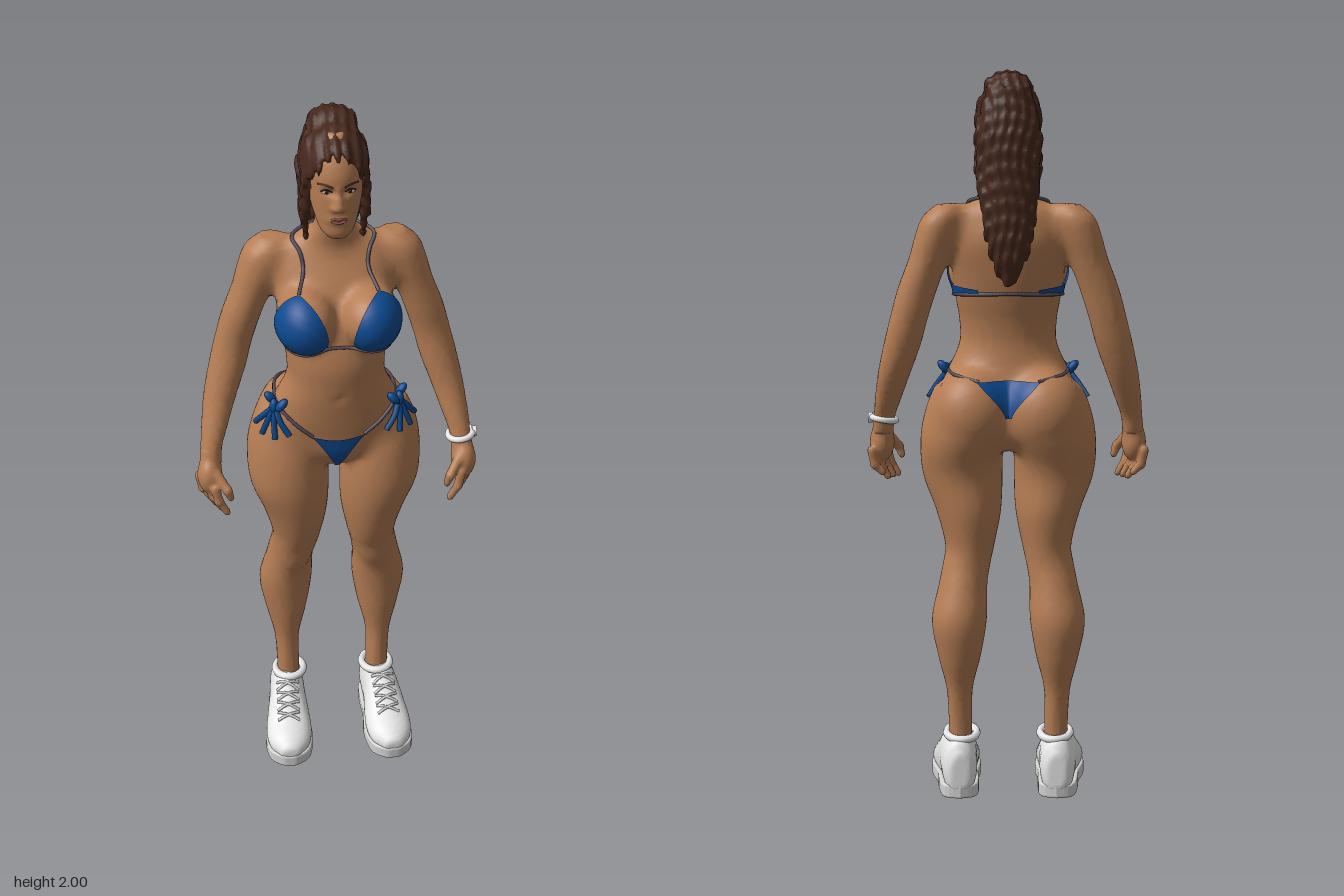
import * as THREE from 'three';
import { ParametricGeometry } from 'three/addons/geometries/ParametricGeometry.js';

const V = (x, y, z) => new THREE.Vector3(x, y, z);
const paint = (name, color, side = THREE.FrontSide) => {
  const m = new THREE.MeshStandardMaterial({ color, side });
  m.name = name;
  return m;
};

// --- implicit shapes: negative inside, positive outside ---
const smin = (a, b, k) => {
  const h = Math.max(k - Math.abs(a - b), 0) / k;
  return Math.min(a, b) - h * h * k / 4;
};
const ball = (cx, cy, cz, rx, ry, rz) => (x, y, z) =>
  (Math.hypot((x - cx) / rx, (y - cy) / ry, (z - cz) / rz) - 1) * Math.min(rx, ry, rz);
const capsule = (a, b, ra, rb = ra) => (x, y, z) => {
  const d = b.clone().sub(a), t = THREE.MathUtils.clamp(
    ((x - a.x) * d.x + (y - a.y) * d.y + (z - a.z) * d.z) / d.lengthSq(), 0, 1);
  return Math.hypot(x - a.x - d.x * t, y - a.y - d.y * t, z - a.z - d.z * t) - ra - (rb - ra) * t;
};
// Elliptical sections [height, centreX, centreZ, radiusX, radiusZ], top first, joined smoothly
const column = rows => {
  const n = rows.length - 1;
  const slope = rows.map((r, i) => {
    const a = rows[Math.max(i - 1, 0)], b = rows[Math.min(i + 1, n)];
    return r.map((_, c) => (b[c] - a[c]) / (b[0] - a[0]));
  });
  return (x, y, z) => {
    const cap = Math.max(y - rows[0][0], rows[n][0] - y);
    if (cap > 0.1) return cap;
    const yy = THREE.MathUtils.clamp(y, rows[n][0], rows[0][0]);
    let i = 0;
    while (i < n - 1 && yy < rows[i + 1][0]) i++;
    const h = rows[i + 1][0] - rows[i][0], t = (yy - rows[i][0]) / h, u = 1 - t;
    const at = c => u * u * (1 + 2 * t) * rows[i][c] + t * u * u * h * slope[i][c]
      + t * t * (3 - 2 * t) * rows[i + 1][c] - t * t * u * h * slope[i + 1][c];
    const rx = at(3), rz = at(4);
    return Math.max(cap, (Math.hypot((x - at(1)) / rx, (z - at(2)) / rz) - 1) * Math.min(rx, rz));
  };
};
// Surface of an implicit shape as a smooth quad net
function surface(f, lo, hi, h) {
  const n = lo.map((v, a) => Math.ceil((hi[a] - v) / h) + 1), step = [1, n[0], n[0] * n[1]];
  const val = new Float32Array(n[0] * n[1] * n[2]), cell = new Int32Array(val.length), pos = [], idx = [];
  const each = fn => {
    for (let k = 0, p = 0; k < n[2]; k++) for (let j = 0; j < n[1]; j++) for (let i = 0; i < n[0]; i++, p++) fn([i, j, k], p);
  };
  each((g, p) => { val[p] = f(lo[0] + g[0] * h, lo[1] + g[1] * h, lo[2] + g[2] * h); });
  each((g, p) => {
    if (g.some((v, a) => v > n[a] - 2)) return;
    const sum = [0, 0, 0];
    let count = 0;
    for (let c = 0; c < 8; c++) for (let a = 0; a < 3; a++) {
      if (c >> a & 1) continue;
      const bits = [c & 1, c >> 1 & 1, c >> 2 & 1];
      const q = p + bits[0] + bits[1] * step[1] + bits[2] * step[2], v0 = val[q], v1 = val[q + step[a]];
      if (v0 < 0 === v1 < 0) continue;
      bits[a] = v0 / (v0 - v1);
      bits.forEach((b, m) => { sum[m] += b; });
      count++;
    }
    if (!count) return;
    cell[p] = pos.length / 3;
    sum.forEach((s, m) => pos.push(lo[m] + (g[m] + s / count) * h));
  });
  each((g, p) => {
    if (g.some((v, a) => v < 1 || v > n[a] - 2)) return;
    for (let a = 0; a < 3; a++) {
      const inside = val[p] < 0;
      if (inside === val[p + step[a]] < 0) continue;
      const u = step[(a + 1) % 3], w = step[(a + 2) % 3];
      const q = [cell[p], cell[p - u], cell[p - u - w], cell[p - w]];
      if (!inside) q.reverse();
      idx.push(q[0], q[1], q[2], q[0], q[2], q[3]);
    }
  });
  const geo = new THREE.BufferGeometry();
  geo.setAttribute('position', new THREE.Float32BufferAttribute(pos, 3));
  geo.setIndex(idx);
  geo.computeVertexNormals();
  return geo;
}
// First point along a ray that lies "off" away from a shape
const cast = (f, from, dir, off = 0) => {
  const p = from.clone();
  for (let i = 0; i < 400 && f(p.x, p.y, p.z) > off; i++) p.addScaledVector(dir, 0.001);
  return p;
};
const tube = (pts, r, seg = 30) => new THREE.TubeGeometry(new THREE.CatmullRomCurve3(pts), seg, r, 6);
const patch = (fn, a = 16, b = 12) => {
  const g = new ParametricGeometry((u, v, t) => t.copy(fn(u, v)), a, b);
  g.computeVertexNormals();
  return g;
};

// --- body shapes, described for the left half ---
const torso = column([[1.665, 0, -0.05, 0.07, 0.04], [1.645, 0, -0.055, 0.115, 0.047], [1.62, 0, -0.055, 0.155, 0.06],
  [1.54, 0, -0.04, 0.163, 0.093], [1.46, 0, -0.02, 0.153, 0.103], [1.38, 0, 0, 0.143, 0.106], [1.32, 0, 0.012, 0.134, 0.104],
  [1.26, 0, 0.012, 0.135, 0.1], [1.18, 0, 0, 0.17, 0.103], [1.1, 0, -0.02, 0.198, 0.112], [1.02, 0, -0.03, 0.14, 0.108],
  [0.975, 0, -0.035, 0.05, 0.08]]);
const neck = column([[1.78, 0, -0.02, 0.05, 0.055], [1.68, 0, -0.035, 0.052, 0.052], [1.62, 0, -0.055, 0.062, 0.055], [1.56, 0, -0.06, 0.075, 0.06]]);
const arm = column([[1.645, 0.165, -0.07, 0.03, 0.03], [1.61, 0.183, -0.07, 0.05, 0.055], [1.56, 0.198, -0.068, 0.055, 0.06],
  [1.5, 0.217, -0.065, 0.053, 0.057], [1.42, 0.246, -0.062, 0.054, 0.054], [1.34, 0.27, -0.06, 0.052, 0.05],
  [1.26, 0.291, -0.048, 0.051, 0.05], [1.18, 0.314, -0.028, 0.045, 0.047], [1.1, 0.334, 0.006, 0.036, 0.04],
  [1.05, 0.345, 0.03, 0.03, 0.033], [1, 0.35, 0.045, 0.03, 0.033]]);
const leg = column([[1.14, 0.12, -0.03, 0.08, 0.07], [1.08, 0.13, -0.035, 0.098, 0.098], [1, 0.13, -0.04, 0.112, 0.122],
  [0.9, 0.126, -0.025, 0.11, 0.114], [0.8, 0.11, -0.033, 0.09, 0.107], [0.7, 0.107, -0.042, 0.068, 0.087],
  [0.65, 0.116, -0.058, 0.066, 0.074], [0.6, 0.125, -0.07, 0.067, 0.075], [0.5, 0.136, -0.09, 0.076, 0.08],
  [0.4, 0.136, -0.088, 0.06, 0.068], [0.3, 0.136, -0.078, 0.037, 0.048], [0.2, 0.134, -0.07, 0.033, 0.042], [0.1, 0.134, -0.065, 0.033, 0.042]]);
const glute = ball(0.1, 1.075, -0.09, 0.105, 0.12, 0.097), knee = ball(0.112, 0.655, 0, 0.036, 0.05, 0.022);
const bustC = V(0.086, 1.46, 0.07), bustR = V(0.08, 0.085, 0.102);
const bust = ball(...bustC.toArray(), ...bustR.toArray());
const trunk = (x, y, z) => {
  const a = Math.abs(x);
  let d = smin(torso(a, y, z), neck(a, y, z), 0.04);
  d = smin(d, smin(leg(a, y, z), knee(a, y, z), 0.03), 0.025);
  d = smin(smin(d, glute(a, y, z), 0.03), bust(a, y, z), 0.025);
  return Math.max(d, 0.013 - Math.hypot(x, y - 1.225, z - 0.115));
};
const body = (x, y, z) => smin(trunk(x, y, z), arm(Math.abs(x), y, z), 0.035);

// Hand: palm, four curled fingers and a thumb
const handParts = [ball(0.353, 0.975, 0.055, 0.034, 0.055, 0.042), capsule(V(0.347, 1.04, 0.035), V(0.352, 0.97, 0.055), 0.029),
  capsule(V(0.335, 0.99, 0.08), V(0.308, 0.955, 0.108), 0.015, 0.012), capsule(V(0.308, 0.955, 0.108), V(0.3, 0.93, 0.107), 0.012, 0.01)];
for (let i = 0; i < 4; i++) {
  const x = 0.38 - i * 0.013, z = 0.024 + i * 0.024, drop = i === 0 ? 0.015 : 0;
  handParts.push(capsule(V(x, 0.955, z), V(x - 0.008, 0.915, z + 0.003), 0.0135, 0.012),
    capsule(V(x - 0.008, 0.915, z + 0.003), V(x - 0.03, 0.878 + drop, z + 0.004), 0.012, 0.01));
}
const hand = (x, y, z) => handParts.reduce((d, f) => smin(d, f(x, y, z), 0.007), 1);

// Head: skull and jaw, nose, brow and eye sockets
const skull = column([[1.97, 0, -0.02, 0.03, 0.045], [1.93, 0, -0.015, 0.062, 0.08], [1.88, 0, -0.008, 0.073, 0.095], [1.83, 0, 0, 0.072, 0.088],
  [1.78, 0, 0.013, 0.065, 0.074], [1.74, 0, 0.033, 0.053, 0.052], [1.715, 0, 0.046, 0.042, 0.038], [1.697, 0, 0.052, 0.025, 0.024]]);
const nose = capsule(V(0, 1.84, 0.083), V(0, 1.797, 0.094), 0.007, 0.011), nostril = ball(0.009, 1.793, 0.09, 0.009, 0.008, 0.009);
const socket = ball(0.03, 1.835, 0.09, 0.021, 0.011, 0.016), mouth = ball(0, 1.757, 0.074, 0.024, 0.013, 0.014);
const head = (x, y, z) => {
  const a = Math.abs(x);
  let d = smin(skull(a, y, z), smin(nose(a, y, z), nostril(a, y, z), 0.008), 0.014);
  d = -smin(-d, socket(a, y, z), 0.012);
  return smin(d, mouth(a, y, z), 0.012);
};

// Hair: swept cap, top knot, long tail and side locks with strand ripples
const cap = ball(0, 1.875, -0.03, 0.09, 0.105, 0.122), knot = ball(0, 1.955, -0.075, 0.066, 0.045, 0.06);
const tail = column([[1.96, 0, -0.105, 0.055, 0.045], [1.85, 0, -0.12, 0.086, 0.055], [1.75, 0, -0.125, 0.086, 0.055],
  [1.65, 0, -0.137, 0.078, 0.048], [1.55, 0, -0.15, 0.06, 0.036], [1.48, 0, -0.15, 0.04, 0.027], [1.43, 0, -0.15, 0.014, 0.012]]);
const lockTop = capsule(V(0.074, 1.86, 0.02), V(0.08, 1.74, 0), 0.015, 0.013), lockEnd = capsule(V(0.08, 1.74, 0), V(0.072, 1.64, -0.03), 0.013, 0.006);
const hair = (x, y, z) => {
  const a = Math.abs(x);
  const face = Math.max((Math.hypot(x / 0.068, (y - 1.8) / 0.125) - 1) * 0.068, -z);
  const low = 1.8 - y - Math.max(0, -z) * 0.8 + Math.max(0, z) * 0.7;
  let d = Math.max(cap(x, y, z), -face, low);
  d = smin(smin(d, knot(x, y, z), 0.008), tail(x, y, z), 0.012);
  d = smin(d, Math.min(lockTop(a, y, z), lockEnd(a, y, z)), 0.008);
  return d + 0.0028 * Math.sin(x * 240 + 3 * Math.sin(y * 22 + z * 15)) + 0.0018 * Math.sin(y * 130 + z * 150);
};

// Shoe upper, swept from toe to heel
const upperForm = column([[0.188, 0, 0.045, 0.025, 0.02], [0.15, 0, 0.048, 0.056, 0.04], [0.1, 0, 0.055, 0.067, 0.052], [0.04, 0, 0.07, 0.062, 0.076],
  [-0.02, 0, 0.087, 0.054, 0.094], [-0.08, 0, 0.085, 0.051, 0.09], [-0.13, 0, 0.08, 0.045, 0.082], [-0.15, 0, 0.07, 0.028, 0.055]]);
const upper = (x, y, z) => Math.max(upperForm(x, z, y), 0.02 - y);

export function createModel() {
  const model = new THREE.Group();
  model.name = 'figure';
  const skin = paint('skin', 0xb57d54), brown = paint('hair brown', 0x46281c), blue = paint('swimwear blue', 0x0c4a90, THREE.DoubleSide);
  const cord = paint('cord', 0x544a58), white = paint('shoe white', 0xe6e6e6), grey = paint('sole grey', 0xd2d2d2);
  const lip = paint('lips', 0x96584a), eyeWhite = paint('eye white', 0xe2d8cc), dark = paint('iris', 0x2a1a14);
  const add = (name, geo, mat, parent = model) => {
    const m = new THREE.Mesh(geo, mat);
    m.name = name;
    parent.add(m);
    return m;
  };
  const wrap = (a, y, off) => cast(trunk, V(Math.sin(a) * 0.34, y, -0.02 + Math.cos(a) * 0.34), V(-Math.sin(a), 0, -Math.cos(a)), off);
  const onFace = (x, y, off) => cast(head, V(x, y, 0.15), V(0, 0, -1), off);

  add('body', surface(body, [-0.42, 0.08, -0.22], [0.42, 1.8, 0.2], 0.0125), skin);
  add('head', surface(head, [-0.09, 1.68, -0.12], [0.09, 1.99, 0.12], 0.0055), skin);
  add('hair', surface(hair, [-0.11, 1.41, -0.21], [0.11, 2.02, 0.11], 0.0075), brown);
  add('upperLip', tube([-0.021, -0.01, 0, 0.01, 0.021].map((x, i) => onFace(x, 1.759 + [0, 3, 2, 3, 0][i] * 0.001, 0)), 0.0032, 20), lip);
  add('lowerLip', tube([-0.019, 0, 0.019].map((x, i) => onFace(x, i === 1 ? 1.751 : 1.757, 0)), 0.004, 20), lip);

  // Swimwear front and back panels
  add('frontPanel', patch((u, v) => wrap((u * 2 - 1) * (0.1 + 0.5 * v ** 1.4), 0.98 + 0.12 * v - 0.012 * v * (1 - (u * 2 - 1) ** 2), 0.005)), blue);
  add('backPanel', patch((u, v) => wrap(Math.PI + (u * 2 - 1) * (0.06 + 0.5 * v ** 1.3), 1.07 + 0.1 * v, 0.005)), blue);
  const ring = [];
  for (let i = 0; i < 48; i++) ring.push(wrap(i / 48 * Math.PI * 2, 1.39 + 0.015 * (1 - Math.cos(i / 48 * Math.PI * 2)) / 2, 0.004));
  add('chestBand', new THREE.TubeGeometry(new THREE.CatmullRomCurve3(ring, true), 96, 0.005, 6, true), cord);

  for (const s of [1, -1]) {
    const side = s > 0 ? 'left' : 'right';
    const range = s > 0 ? [0.27, 0.42] : [-0.42, -0.27];
    add(side + 'Hand', surface((x, y, z) => hand(s * x, y, z), [range[0], 0.85, -0.02], [range[1], 1.08, 0.14], 0.006), skin);

    // Eye and brow
    for (const [name, mat, sx, sy, off] of [['Eye', eyeWhite, 0.0125, 0.0055, 0], ['Iris', dark, 0.005, 0.005, 0.002]]) {
      const e = add(side + name, new THREE.SphereGeometry(1, 16, 10), mat);
      e.scale.set(sx, sy, 0.004);
      e.position.copy(onFace(s * 0.03, 1.834, off));
    }
    add(side + 'Lash', tube([0.016, 0.03, 0.045].map((x, i) => onFace(s * x, 1.836 + (i === 1 ? 0.005 : 0), 0.002)), 0.0018, 12), dark);
    add(side + 'Brow', tube([0.014, 0.032, 0.052].map((x, i) => onFace(s * x, 1.85 + [0, 0.006, 0.003][i], 0)), 0.003, 12), brown);

    // Cup: a rounded triangle on the chest, with its side wing and neck strap
    const corners = [V(0.22, 0.95, 0.15), V(0.95, -0.55, -0.1), V(-0.55, -0.72, 0.42)].map(c => c.normalize());
    const cup = (u, v) => {
      const d = corners[1].clone().lerp(corners[2], u).lerp(corners[0], v * 0.98);
      d.z += 0.25 * u * (1 - u) * (1 - v);
      d.normalize().multiplyScalar(1.05).multiply(bustR).add(bustC);
      return V(s * d.x, d.y, d.z);
    };
    add(side + 'Cup', patch(cup, 20, 20), blue);
    add(side + 'Wing', patch((u, v) => wrap(s * (1.05 + 1.3 * u), 1.41 + (v - 0.5) * 0.045 * (1 - 0.8 * u), 0.005), 16, 4), blue);
    add(side + 'NeckStrap', tube([cup(0.5, 1), ...[[1.15, 1.585], [1.4, 1.622], [1.8, 1.65], [2.5, 1.668], [Math.PI, 1.675]]
      .map(([a, y]) => wrap(s * a, y, 0.003))], 0.005), cord);

    // Hip string and bow
    add(side + 'HipString', tube([[0.58, 1.1], [0.85, 1.135], [1.15, 1.175], [1.6, 1.19], [2.1, 1.185], [2.6, 1.17]]
      .map(([a, y]) => wrap(s * a, y, 0.003)), 0.005), cord);
    for (const [da, dy, tilt] of [[-0.14, 0.012, 0.7], [0.14, 0.012, -0.7], [0, 0, 0]]) {
      const loop = add(side + 'BowLoop', new THREE.SphereGeometry(1, 14, 10), blue);
      loop.position.copy(wrap(s * (1.22 + da), 1.18 + dy, 0.01));
      loop.scale.set(0.012, 0.022, 0.014);
      loop.rotation.z = s * tilt;
    }
    for (const [a, y] of [[0.95, 1.1], [1.12, 1.085], [1.3, 1.09], [1.45, 1.11]])
      add(side + 'BowTail', tube([0, 0.5, 1].map(t => wrap(s * (1.22 + (a - 1.22) * t), 1.18 + (y - 1.18) * t, 0.008)), 0.008, 12), blue);

    // Shoe: upper, sole, collar and laces
    const shoe = new THREE.Group();
    shoe.name = side + 'Shoe';
    shoe.position.set(s * 0.143, 0, 0);
    shoe.rotation.y = s * 0.06;
    model.add(shoe);
    add('upper', surface(upper, [-0.09, 0, -0.18], [0.09, 0.21, 0.21], 0.009), white, shoe);
    const half = [[0, -0.145], [0.04, -0.128], [0.05, -0.07], [0.052, 0], [0.064, 0.08], [0.055, 0.15], [0.025, 0.18], [0, 0.185]];
    const outline = [...half, ...half.slice(1, -1).reverse().map(([x, z]) => [-x, z])].map(([x, z]) => new THREE.Vector2(x, -z));
    const shape = new THREE.Shape(new THREE.SplineCurve([...outline, outline[0]]).getPoints(60).slice(0, -1));
    const sole = new THREE.ExtrudeGeometry(shape, { depth: 0.026, bevelThickness: 0.006, bevelSize: 0.006, bevelSegments: 3 });
    add('sole', sole.rotateX(-Math.PI / 2).translate(0, 0.006, 0), grey, shoe);
    const collar = add('collar', new THREE.TorusGeometry(0.042, 0.011, 8, 28).rotateX(Math.PI / 2), white, shoe);
    collar.position.set(s * -0.008, 0.168, -0.066);
    collar.scale.z = 1.25;
    collar.rotation.x = -0.12;
    const top = (x, z) => cast(upper, V(x, 0.25, z), V(0, -1, 0), 0.002);
    for (let i = 0; i < 4; i++) for (const d of [1, -1])
      add('lace', tube([-1, -0.4, 0.4, 1].map(t => top(t * 0.032, 0.09 - i * 0.027 + d * t * 0.011)), 0.0042, 12), grey, shoe);
  }

  // Band on the left wrist
  const band = add('wristband', new THREE.TorusGeometry(0.034, 0.009, 10, 30).rotateX(Math.PI / 2), white);
  band.position.set(0.346, 1.045, 0.033);
  band.rotation.z = 0.15;
  const dial = add('wristbandDial', new THREE.CylinderGeometry(0.015, 0.015, 0.012, 20).rotateZ(Math.PI / 2), white);
  dial.position.set(0.384, 1.048, 0.033);
  return model;
}
